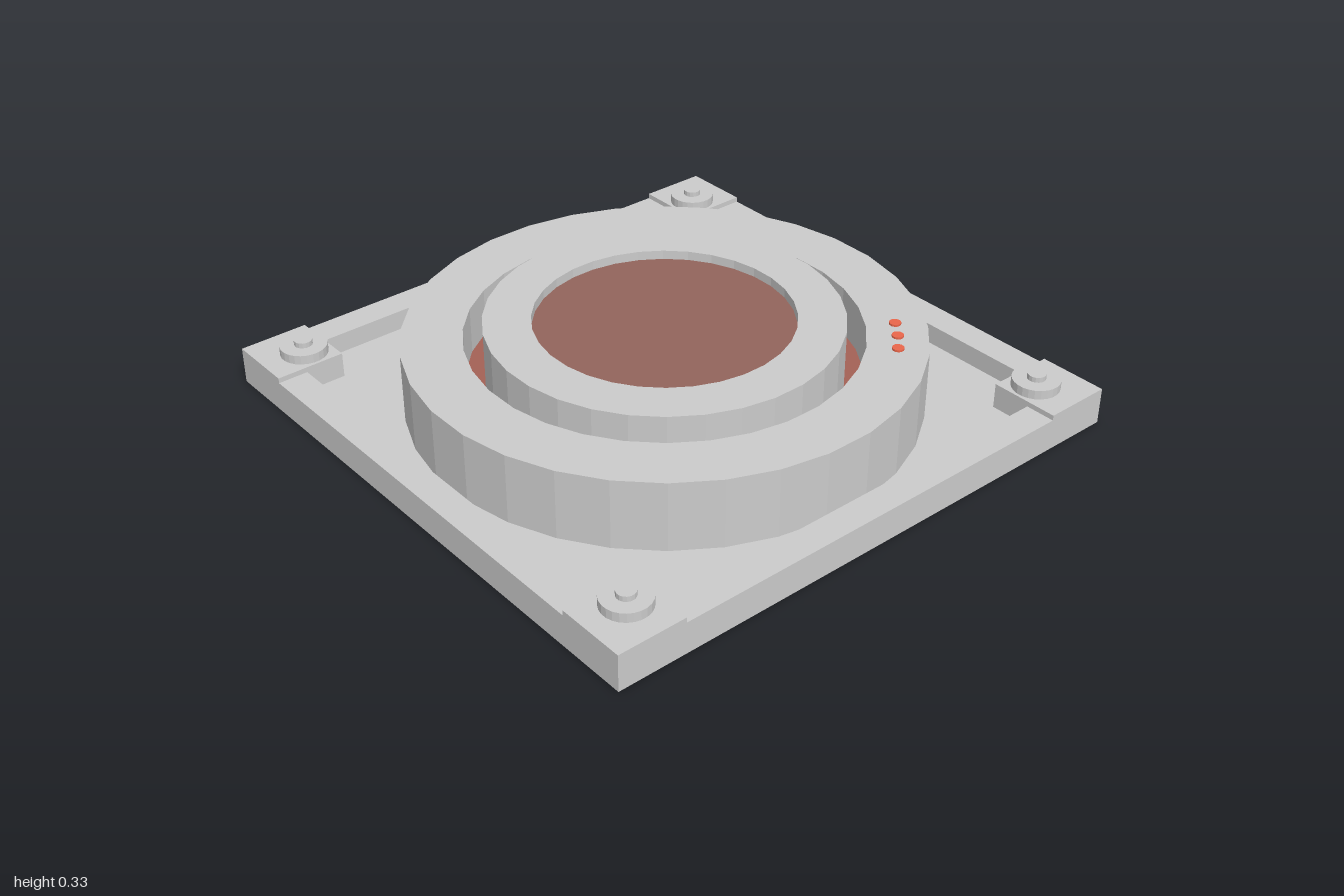
import * as THREE from 'three';

const SEG = 32;
const HALF = Math.PI / SEG; // turns a flat facet to each side

const material = (color) => new THREE.MeshStandardMaterial({ color, flatShading: true });
const grey = material(0xcccccc);
const glowRed = material(0xa46156);
const discRed = material(0x93655c);
const lampRed = material(0xeb674b);

export function createModel() {
  const model = new THREE.Group();

  function add(name, geometry, mat, x = 0, y = 0, z = 0, parent = model) {
    const mesh = new THREE.Mesh(geometry, mat);
    mesh.name = name;
    mesh.position.set(x, y, z);
    parent.add(mesh);
    return mesh;
  }
  const box = (name, w, y0, y1, d, x = 0, z = 0, parent = model) =>
    add(name, new THREE.BoxGeometry(w, y1 - y0, d), grey, x, (y0 + y1) / 2, z, parent);
  const disc = (name, r, y0, y1, mat, x = 0, z = 0, seg = SEG, parent = model) =>
    add(name, new THREE.CylinderGeometry(r, r, y1 - y0, seg, 1, false, Math.PI / seg), mat, x, (y0 + y1) / 2, z, parent);
  // Square-section ring, profile runs outer wall, top, inner wall, bottom
  const ring = (name, inner, outer, y0, y1) => {
    const profile = [[outer, y0], [outer, y1], [inner, y1], [inner, y0], [outer, y0]]
      .map(([r, y]) => new THREE.Vector2(r, y));
    return add(name, new THREE.LatheGeometry(profile, SEG, HALF), grey);
  };

  // Square tray: floor and low rim between the corner pads
  const floorY = 0.04;
  box('basePlate', 2, 0, floorY, 2);
  for (const s of [-1, 1]) {
    box('sideRim', 0.105, floorY, 0.11, 1.52, s * 0.9475, 0);
    box('endRim', 1.52, floorY, 0.11, 0.105, 0, s * 0.9475);
  }

  // Corner pads with washer and bolt
  for (const sx of [-1, 1]) {
    for (const sz of [-1, 1]) {
      const corner = new THREE.Group();
      corner.name = 'cornerMount';
      model.add(corner);
      box('cornerPad', 0.24, floorY, 0.128, 0.24, sx * 0.88, sz * 0.88, corner);
      disc('washer', 0.08, 0.128, 0.16, grey, sx * 0.85, sz * 0.85, 24, corner);
      disc('boltHead', 0.031, 0.16, 0.178, grey, sx * 0.85, sz * 0.85, 16, corner);
    }
  }

  // Round housing: outer ring, red groove, raised inner ring, recessed disc
  ring('outerRing', 0.652, 0.853, floorY, 0.283);
  disc('grooveFloor', 0.652, floorY, 0.12, glowRed);
  ring('innerRing', 0.43, 0.588, 0.12, 0.332);
  disc('centreDisc', 0.43, 0.12, 0.3, discRed);

  // Three indicator lamps on the outer ring
  for (const [x, z] of [[0.46, -0.59], [0.52, -0.54], [0.575, -0.485]]) {
    disc('indicatorLamp', 0.02, 0.28, 0.29, lampRed, x, z, 12);
  }

  return model;
}
